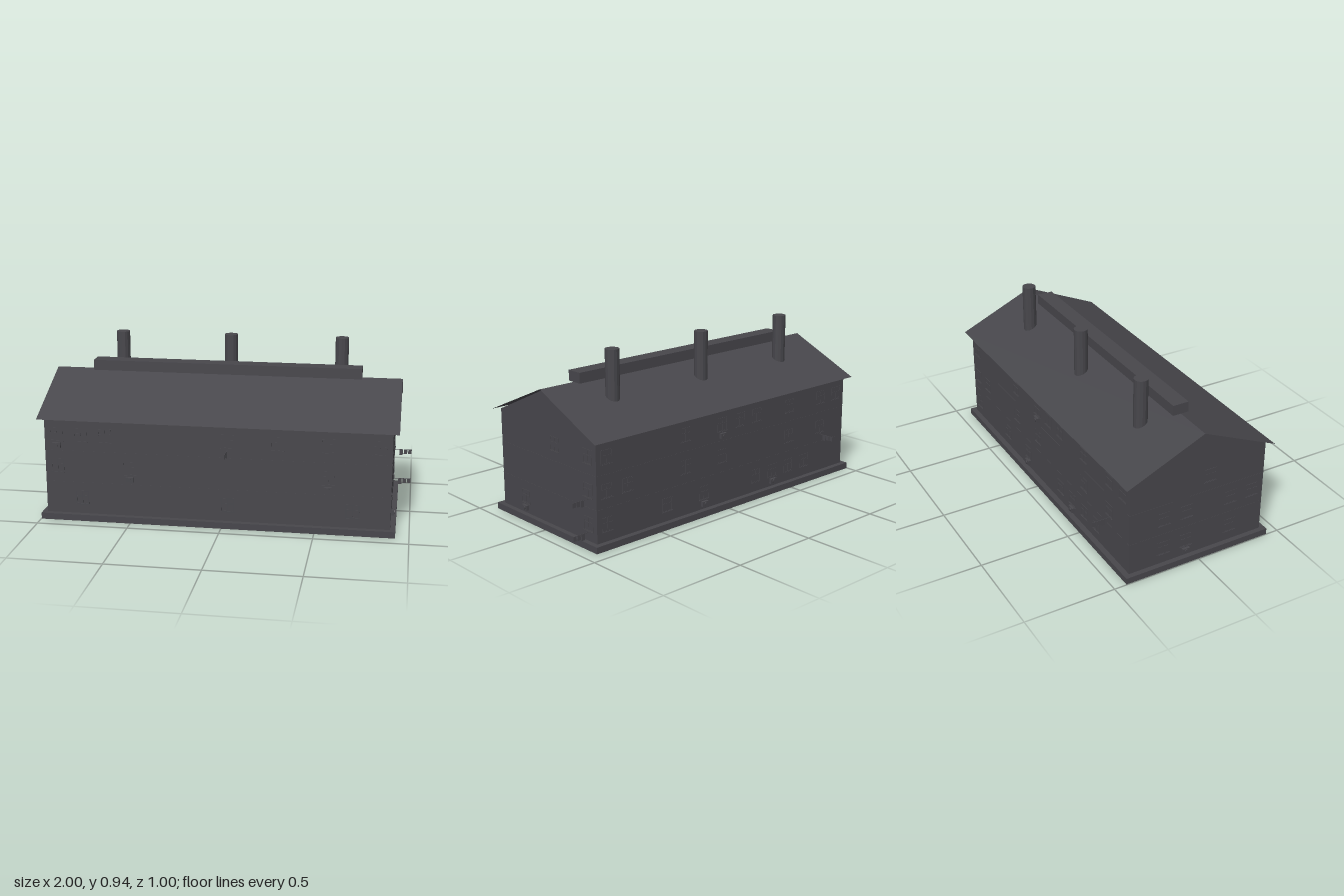
import * as THREE from 'three';

export function createModel() {
  const model = new THREE.Group();
  model.name = 'apartmentBlock';
  const charcoal = new THREE.MeshStandardMaterial({ color: 0x47464b, side: THREE.DoubleSide });
  charcoal.name = 'charcoal grey';

  const CX = -0.035, LENGTH = 1.87, DEPTH = 0.8, FLOOR = 0.177;

  function add(parent, name, geometry, x = 0, y = 0, z = 0) {
    const mesh = new THREE.Mesh(geometry, charcoal);
    mesh.name = name;
    mesh.position.set(x, y, z);
    parent.add(mesh);
    return mesh;
  }
  const box = (w, h, d) => new THREE.BoxGeometry(w, h, d);

  // Foundation slab
  add(model, 'foundation', box(1.925, 0.035, 0.86), CX, 0.0175, 0);

  // Walls with gable ends, extruded along x
  const gable = new THREE.Shape([
    [-0.4, 0.035], [0.4, 0.035], [0.4, 0.57], [0, 0.756], [-0.4, 0.57],
  ].map(([x, y]) => new THREE.Vector2(x, y)));
  const walls = new THREE.ExtrudeGeometry(gable, { depth: LENGTH, bevelEnabled: false });
  walls.translate(0, 0, -LENGTH / 2).rotateY(Math.PI / 2);
  add(model, 'walls', walls, CX);

  // Thin folded roof sheet overhanging all sides
  let roof = new THREE.PlaneGeometry(1.935, 0.87, 1, 2).rotateX(-Math.PI / 2);
  const p = roof.attributes.position;
  for (let i = 0; i < p.count; i++) p.setY(i, 0.76 - 0.193 * Math.abs(p.getZ(i)) / 0.435);
  roof = roof.toNonIndexed();
  roof.computeVertexNormals();
  add(model, 'roof', roof, CX - 0.0005);

  // Ridge vent and chimneys
  add(model, 'ridgeVent', box(1.495, 0.057, 0.09), CX, 0.787, 0);
  const flue = new THREE.CylinderGeometry(0.0375, 0.0375, 0.285, 14).toNonIndexed();
  flue.computeVertexNormals();
  for (const x of [-0.66, CX, 0.59]) add(model, 'chimney', flue, x, 0.8025, -0.16);

  // Shared window, air conditioner and laundry parts
  const W = 0.072, H = 0.076, BAR = 0.005;
  const jamb = box(BAR, H, 0.004), rail = box(W, BAR, 0.004);
  const sill = box(0.076, 0.003, 0.008);
  const acBody = box(0.043, 0.028, 0.015);
  const acFan = new THREE.CylinderGeometry(0.011, 0.011, 0.006, 10).rotateX(Math.PI / 2);
  const pole = box(0.002, 0.002, 0.1);

  function addWindow(wall, x, y) {
    const win = new THREE.Group();
    win.name = 'window';
    win.position.set(x, y, 0);
    wall.add(win);
    for (const s of [-1, 0, 1]) add(win, 'jamb', jamb, s * (W - BAR) / 2, H / 2);
    for (const h of [BAR / 2, H * 0.6, H - BAR / 2]) add(win, 'rail', rail, 0, h);
    add(win, 'sill', sill, 0, 0, 0.001);
  }
  function addAirConditioner(wall, x, y) {
    const unit = new THREE.Group();
    unit.name = 'airConditioner';
    unit.position.set(x, y - 0.022, 0);
    wall.add(unit);
    add(unit, 'casing', acBody, 0, 0, 0.0075);
    add(unit, 'fan', acFan, 0, 0, 0.017);
  }
  function addLaundry(wall, x, y) {
    const line = new THREE.Group();
    line.name = 'clothesLine';
    line.position.set(x, y - 0.007, 0);
    wall.add(line);
    add(line, 'pole', pole, 0, 0, 0.05);
    [0.034, 0.027, 0.025].forEach((h, i) =>
      add(line, 'cloth', box(0.002, h, 0.02), 0, -h / 2, 0.037 + i * 0.0255));
  }

  // One facade: columns are counted from the left as seen from outside, rows from the ground up
  function addFacade(name, position, angle, length, columns, { rows, units, lines }) {
    const wall = new THREE.Group();
    wall.name = name;
    wall.position.set(...position);
    wall.rotation.y = angle;
    model.add(wall);
    const colX = (c) => -length / 2 + (c + 0.5) * length / columns;
    const rowY = (r) => 0.088 + r * FLOOR;
    rows.forEach((cols, r) => cols.forEach((c) => addWindow(wall, colX(c), rowY(r))));
    units.forEach(([c, r]) => addAirConditioner(wall, colX(c), rowY(r)));
    lines.forEach(([c, r]) => addLaundry(wall, colX(c), rowY(r)));
    for (const r of [1, 2]) add(wall, 'floorLine', box(length, 0.002, 0.002), 0, 0.035 + r * FLOOR, 0);
  }

  addFacade('frontFacade', [CX, 0, DEPTH / 2], 0, LENGTH, 14, {
    rows: [[1, 7, 12], [0, 3, 11], [0, 1, 2, 7, 9, 11, 13]],
    units: [[0, 2], [3, 1], [11, 1]],
    lines: [[7, 2]],
  });
  addFacade('backFacade', [CX, 0, -DEPTH / 2], Math.PI, LENGTH, 14, {
    rows: [[0, 3, 5, 8, 9, 10, 11], [0, 1, 4, 6, 10, 12], [0, 4, 6, 7, 8, 10, 12, 13]],
    units: [[6, 2], [5, 0], [9, 0]],
    lines: [[12, 1]],
  });
  addFacade('leftFacade', [CX + LENGTH / 2, 0, 0], Math.PI / 2, DEPTH, 6, {
    rows: [[1, 5], [5], [3, 5]],
    units: [[1, 0]],
    lines: [[5, 0], [5, 1]],
  });
  addFacade('rightFacade', [CX - LENGTH / 2, 0, 0], -Math.PI / 2, DEPTH, 6, {
    rows: [[1, 2, 4], [1, 2, 4, 5], [3]],
    units: [[2, 0]],
    lines: [],
  });

  return model;
}
